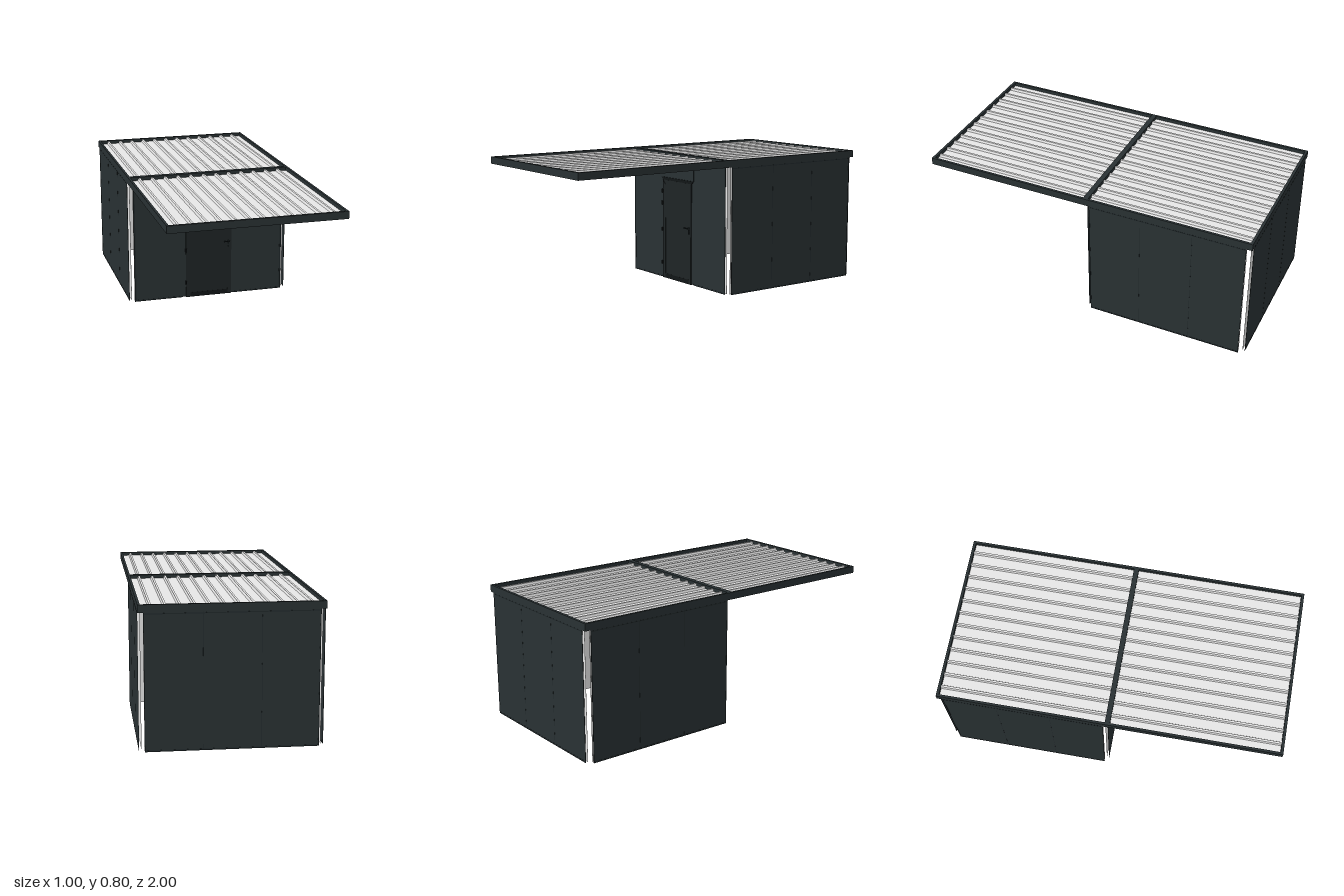
import * as THREE from 'three';

const mat = (name, color, side = THREE.FrontSide) => {
  const m = new THREE.MeshStandardMaterial({ color, side });
  m.name = name;
  return m;
};

export function createModel() {
  const model = new THREE.Group();
  model.name = 'shedWithCanopy';
  const wallMat = mat('anthracite', 0x293133);
  const trimMat = mat('darkTrim', 0x20282a);
  const doorMat = mat('doorGrey', 0x1e2425);
  const hardwareMat = mat('black', 0x121617);
  const whiteMat = mat('whiteSheet', 0xf0f0f0, THREE.DoubleSide);

  // Box given by its minimum and maximum on each axis
  const box = (parent, name, m, x0, x1, y0, y1, z0, z1) => {
    const mesh = new THREE.Mesh(new THREE.BoxGeometry(x1 - x0, y1 - y0, z1 - z0), m);
    mesh.position.set((x0 + x1) / 2, (y0 + y1) / 2, (z0 + z1) / 2);
    mesh.name = name;
    parent.add(mesh);
  };
  const plate = (parent, name, m, points, z, depth) => {
    const shape = new THREE.Shape(points.map(([x, y]) => new THREE.Vector2(x, y)));
    const mesh = new THREE.Mesh(new THREE.ExtrudeGeometry(shape, { depth, bevelEnabled: false }), m);
    mesh.position.z = z;
    mesh.name = name;
    parent.add(mesh);
  };

  // Hollow panel of two thin skins; outside faces +z, outer skin at z = 0
  const H = 0.756, GAP = 0.014, SKIN = 0.0006;
  const panel = (wall, x0, x1, y0, y1) => {
    box(wall, 'outerPanel', wallMat, x0, x1, y0, y1, -SKIN, 0);
    box(wall, 'innerPanel', whiteMat, x0, x1, y0, y1, -GAP, -GAP + SKIN);
  };
  // Thin rails at the foot and head, and edge strips
  const headRail = (wall, half) => box(wall, 'headRail', trimMat, -half, half, 0.743, 0.748, -SKIN, 0.0008);
  const edgeStrips = (wall, half, width) => {
    for (const s of [-1, 1]) {
      const x = s * (half - width / 2);
      box(wall, 'edgeStrip', trimMat, x - width / 2, x + width / 2, 0, 0.748, -SKIN, 0.001);
    }
  };
  const baseRail = (wall, x0, x1) => box(wall, 'baseRail', trimMat, x0, x1, 0, 0.008, -0.001, 0.001);

  const makeWall = (name, half) => {
    const wall = new THREE.Group();
    wall.name = name;
    const w = (2 * half) / 3;
    for (let i = 0; i < 3; i++) {
      const x0 = -half + i * w;
      panel(wall, x0, x0 + w, 0.002, H);
      if (i) box(wall, 'panelSeam', trimMat, x0 - 0.001, x0 + 0.001, 0.008, H, -SKIN, 0.0005);
    }
    headRail(wall, half);
    baseRail(wall, -half, half);
    edgeStrips(wall, half, 0.004);
    model.add(wall);
    return wall;
  };

  for (const s of [-1, 1]) {
    const side = makeWall(s > 0 ? 'leftWall' : 'rightWall', 0.468);
    side.rotation.y = s * Math.PI / 2;
    side.position.set(s * 0.499, 0, -0.498);
  }
  const back = makeWall('backWall', 0.47);
  back.rotation.y = Math.PI;
  back.position.z = -0.998;

  // Front wall with an opening for the door
  const front = new THREE.Group();
  front.name = 'frontWall';
  front.position.z = -0.007;
  model.add(front);
  panel(front, -0.47, -0.147, 0.002, H);
  panel(front, 0.143, 0.47, 0.002, H);
  panel(front, -0.147, 0.143, 0.615, H);
  baseRail(front, -0.47, -0.166);
  baseRail(front, 0.163, 0.47);
  headRail(front, 0.468);
  edgeStrips(front, 0.47, 0.01);
  box(front, 'panelSeam', hardwareMat, 0.16, 0.163, 0.635, 0.742, -SKIN, 0.0008);
  for (const s of [-1, 1]) {
    const x = s * 0.147;
    box(front, 'innerJamb', trimMat, x - 0.012, x + 0.012, 0, 0.63, -GAP - 0.001, -GAP + 0.001);
  }

  // Door with mitred frame
  const door = new THREE.Group();
  door.name = 'door';
  model.add(door);
  box(door, 'doorLeaf', doorMat, -0.121, 0.119, 0.028, 0.617, -0.012, -0.002);
  box(door, 'doorInnerFace', whiteMat, -0.135, 0.131, 0.01, 0.61, -0.0215, -0.0208);
  plate(door, 'hingeJamb', doorMat, [[-0.147, 0], [-0.121, 0], [-0.121, 0.592], [-0.147, 0.62]], -0.012, 0.012);
  plate(door, 'lockJamb', doorMat, [[0.119, 0], [0.143, 0], [0.143, 0.62], [0.119, 0.592]], -0.012, 0.012);
  plate(door, 'frameHead', doorMat, [[-0.121, 0.592], [0.119, 0.592], [0.143, 0.62], [-0.147, 0.62]], -0.012, 0.011);
  plate(door, 'dripCap', hardwareMat, [[-0.148, 0.62], [0.146, 0.62], [0.165, 0.637], [-0.167, 0.637]], -0.008, 0.006);
  box(door, 'threshold', hardwareMat, -0.121, 0.119, 0, 0.028, -0.012, -0.001);
  for (const y of [0.097, 0.308, 0.475, 0.55])
    box(door, 'hinge', hardwareMat, -0.152, -0.143, y - 0.011, y + 0.011, -0.004, 0.009);

  // Lever handle and lock cylinder
  const round = (name, r, len, x, y, z) => {
    const mesh = new THREE.Mesh(new THREE.CylinderGeometry(r, r, len, 16), trimMat);
    mesh.rotation.x = Math.PI / 2;
    mesh.position.set(x, y, z);
    mesh.name = name;
    door.add(mesh);
  };
  round('handleRose', 0.006, 0.006, 0.125, 0.348, 0.002);
  round('handleStem', 0.003, 0.018, 0.125, 0.348, 0.01);
  round('lockCylinder', 0.005, 0.006, 0.125, 0.325, 0.002);
  box(door, 'handleLever', trimMat, 0.091, 0.129, 0.345, 0.351, 0.014, 0.02);
  box(door, 'lockPlate', trimMat, 0.122, 0.128, 0.31, 0.338, -0.002, 0.005);

  // Roof frame
  const roof = new THREE.Group();
  roof.name = 'roof';
  model.add(roof);
  const R0 = 0.753, R1 = 0.795;
  for (const s of [-1, 1]) {
    box(roof, 'sideFascia', wallMat, s * 0.493 - 0.007, s * 0.493 + 0.007, R0, R1, -1, 1);
    box(roof, 'endFascia', wallMat, -0.487, 0.487, R0, R1, s * 0.992 - 0.008, s * 0.992 + 0.008);
  }
  box(roof, 'crossBeam', wallMat, -0.487, 0.487, 0.759, R1, -0.02, 0.01);
  box(roof, 'ceiling', whiteMat, -0.487, 0.487, 0.756, 0.758, -0.985, 0.985);

  // Trapezoid-ribbed sheets, laid in two bays
  const pitch = 0.0785, low = 0.774, high = 0.788;
  const strip = (name, xa, ya, xb, yb, z0, z1) => {
    const len = Math.hypot(xb - xa, yb - ya);
    const g = new THREE.PlaneGeometry(len, z1 - z0).rotateX(-Math.PI / 2);
    const mesh = new THREE.Mesh(g, whiteMat);
    mesh.rotation.z = Math.atan2(yb - ya, xb - xa);
    mesh.position.set((xa + xb) / 2, (ya + yb) / 2, (z0 + z1) / 2);
    mesh.name = name;
    roof.add(mesh);
  };
  for (const [z0, z1] of [[-0.985, -0.02], [0.01, 0.985]]) {
    let x = -0.487;
    for (let i = 0; i < 12; i++) {
      const c = (i - 5.5) * pitch;
      strip('roofPan', x, low, c - 0.011, low, z0, z1);
      strip('ribSide', c - 0.011, low, c - 0.006, high, z0, z1);
      strip('ribTop', c - 0.006, high, c + 0.006, high, z0, z1);
      strip('ribSide', c + 0.006, high, c + 0.011, low, z0, z1);
      x = c + 0.011;
    }
    strip('roofPan', x, low, 0.487, low, z0, z1);
  }
  return model;
}
